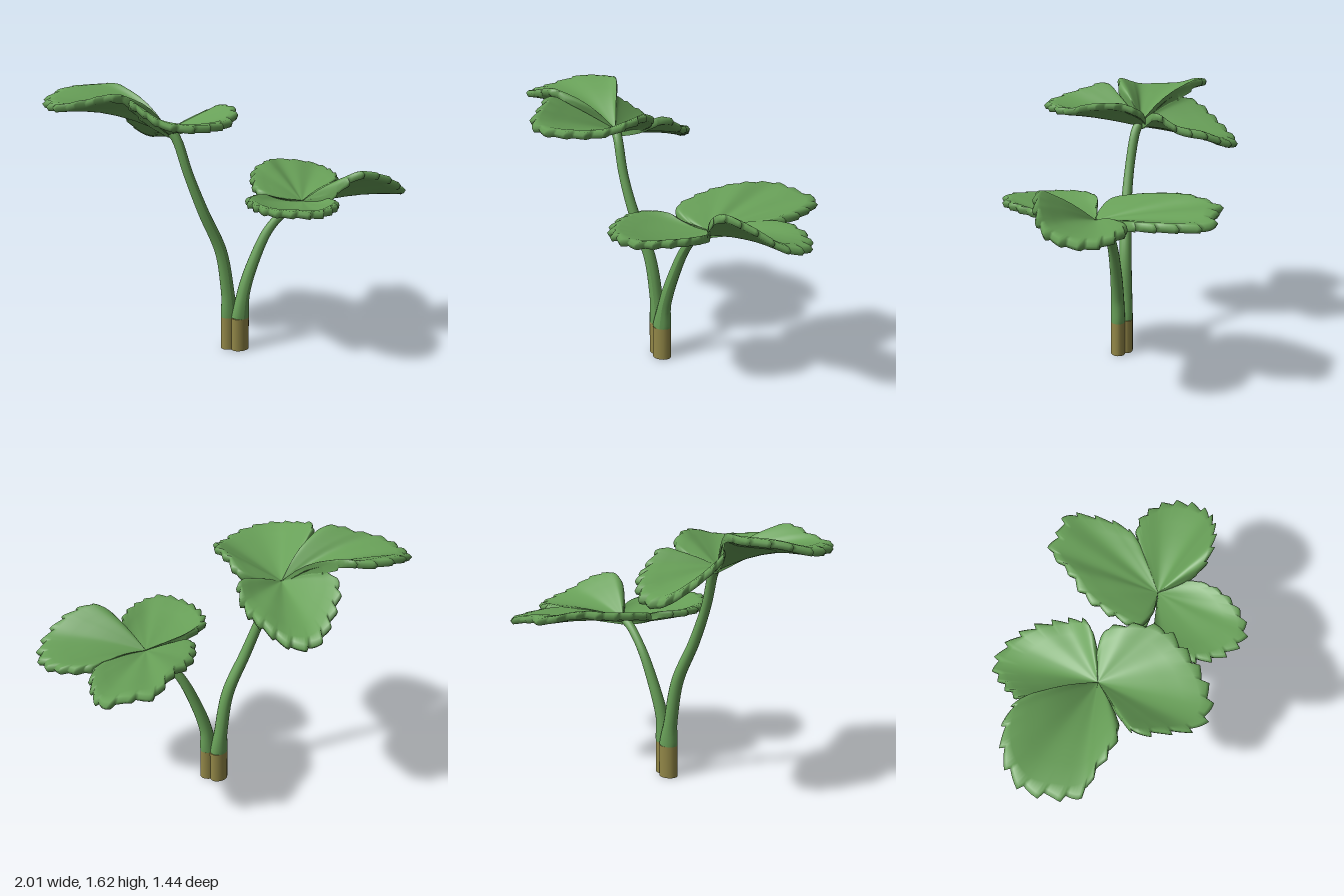
import * as THREE from 'three';

const leafGreen = new THREE.MeshStandardMaterial({ name: 'leafGreen', color: 0x68a058 });
const stalkBrown = new THREE.MeshStandardMaterial({ name: 'stalkBrown', color: 0x938848 });

// Leaf section from hub to rim and back underneath: [fraction of radius, height offset]
const SECTION = [
  [0, 0], [0.15, 0], [0.3, 0], [0.45, 0], [0.6, 0], [0.75, 0], [0.9, 0.004], [0.97, -0.004],
  [1, -0.024], [0.98, -0.046], [0.9, -0.042], [0.75, -0.036], [0.6, -0.032], [0.45, -0.03],
  [0.3, -0.028], [0.15, -0.028], [0, -0.028],
];

// Serrated leaflet: a closed shell fanned from the hub; rim runs anticlockwise from above.
// bulge lifts (or sinks) the blade between hub and rim.
function leaflet(name, hub, bulge, rim) {
  const steps = 114, teeth = 19;
  const h = new THREE.Vector3(...hub);
  const ctrl = [hub, ...rim, hub].map((p) => new THREE.Vector3(...p));
  const edge = new THREE.CatmullRomCurve3(ctrl, false, 'centripetal').getSpacedPoints(steps);
  const pos = [], index = [], n = SECTION.length;
  edge.forEach((p, i) => {
    const saw = ((i * teeth) / steps) % 1 - 0.45;
    const out = p.clone().sub(h);
    const len = out.length();
    const fade = THREE.MathUtils.smoothstep(len, 0.2, 0.4);
    const grow = len > 0 ? 1 + (saw * 0.042 * fade) / len : 1;
    const lift = bulge * THREE.MathUtils.smoothstep(len, 0, 0.4);
    SECTION.forEach(([t, dy]) => {
      const s = t > 0.95 ? t * grow : t;
      const y = h.y + out.y * t + dy + lift * Math.sin(Math.PI * t);
      pos.push(h.x + out.x * s, y, h.z + out.z * s);
    });
    if (i < steps) {
      for (let j = 0; j < n - 1; j++) {
        const a = i * n + j, b = a + n;
        index.push(a, a + 1, b, b, a + 1, b + 1);
      }
    }
  });
  const geo = new THREE.BufferGeometry();
  geo.setAttribute('position', new THREE.Float32BufferAttribute(pos, 3));
  geo.setIndex(index);
  geo.computeVertexNormals();
  const mesh = new THREE.Mesh(geo, leafGreen);
  mesh.name = name;
  return mesh;
}

// Tapering stem, oval at the bottom, with a brown foot
function stem(name, path, r0, r1) {
  const g = new THREE.Group();
  g.name = name;
  const [x, top, z] = path[0];
  const oval = 1.32, bottom = 0.008;
  const curve = new THREE.CatmullRomCurve3(path.map((p) => new THREE.Vector3(...p)));
  const segs = 36, sides = 14;
  const geo = new THREE.TubeGeometry(curve, segs, 1, sides);
  const pos = geo.attributes.position, v = new THREE.Vector3();
  for (let i = 0; i <= segs; i++) {
    const c = curve.getPointAt(i / segs);
    const r = THREE.MathUtils.lerp(r0, r1, Math.min(1, (i / segs) * 1.3));
    const wide = THREE.MathUtils.lerp(oval, 1, THREE.MathUtils.smoothstep(c.y, top, 0.38));
    for (let j = 0; j <= sides; j++) {
      const k = i * (sides + 1) + j;
      v.fromBufferAttribute(pos, k).sub(c).multiplyScalar(r);
      v.x *= wide;
      v.add(c);
      pos.setXYZ(k, v.x, v.y, v.z);
    }
  }
  geo.computeVertexNormals();
  const stalk = new THREE.Mesh(geo, leafGreen);
  stalk.name = 'stalk';
  const foot = new THREE.Mesh(new THREE.CylinderGeometry(r0, r0, top - bottom, sides), stalkBrown);
  foot.position.set(x, (top + bottom) / 2, z);
  foot.scale.x = oval;
  foot.name = 'stalkFoot';
  g.add(stalk, foot);
  return g;
}

export function createModel() {
  const model = new THREE.Group();
  model.name = 'seedling';

  // Tall sprig
  const tall = new THREE.Group();
  tall.name = 'tallSprig';
  const a = [-0.335, 1.385, -0.14];
  tall.add(
    stem('tallStem', [
      [0, 0.215, -0.008], [-0.016, 0.38, -0.008], [-0.06, 0.64, -0.012], [-0.17, 0.9, -0.03],
      [-0.25, 1.13, -0.06], [-0.3, 1.33, -0.1], [-0.32, 1.37, -0.12],
    ], 0.044, 0.029),
    leaflet('tallFrontLeaflet', a, 0.005, [
      [-0.55, 1.51, -0.03], [-0.67, 1.61, 0.06], [-0.66, 1.58, 0.2], [-0.62, 1.53, 0.37],
      [-0.52, 1.51, 0.44], [-0.36, 1.5, 0.42], [-0.2, 1.5, 0.33], [-0.08, 1.54, 0.2],
      [-0.06, 1.54, 0.02], [-0.07, 1.49, -0.1], [-0.2, 1.42, -0.15],
    ]),
    leaflet('tallSideLeaflet', a, 0.045, [
      [-0.42, 1.5, -0.33], [-0.5, 1.63, -0.52], [-0.6, 1.63, -0.59], [-0.8, 1.62, -0.59],
      [-0.94, 1.58, -0.5], [-0.98, 1.57, -0.35], [-0.98, 1.57, -0.22], [-0.85, 1.6, -0.13],
      [-0.72, 1.63, -0.04], [-0.6, 1.57, -0.03], [-0.48, 1.47, -0.08],
    ]),
    leaflet('tallBackLeaflet', a, 0.01, [
      [-0.18, 1.42, -0.14], [-0.02, 1.48, -0.2], [0.02, 1.4, -0.33], [0, 1.36, -0.5],
      [-0.08, 1.3, -0.65], [-0.2, 1.3, -0.71], [-0.35, 1.39, -0.64], [-0.47, 1.51, -0.51],
      [-0.46, 1.53, -0.42], [-0.42, 1.48, -0.3],
    ]),
  );

  // Short sprig
  const short = new THREE.Group();
  short.name = 'shortSprig';
  const b = [0.38, 0.945, 0.2];
  short.add(
    stem('shortStem', [
      [0.043, 0.215, 0.045], [0.065, 0.38, 0.05], [0.12, 0.56, 0.065], [0.21, 0.77, 0.1],
      [0.31, 0.9, 0.16], [0.36, 0.933, 0.19],
    ], 0.044, 0.027),
    leaflet('shortFrontLeaflet', b, -0.02, [
      [0.22, 0.98, 0.19], [0.1, 1.02, 0.17], [-0.03, 1.03, 0.24], [-0.08, 1.03, 0.4],
      [-0.06, 1.03, 0.55], [0.04, 1.04, 0.69], [0.14, 1.03, 0.71], [0.28, 1.03, 0.65],
      [0.39, 1.02, 0.54], [0.44, 1, 0.42], [0.43, 0.97, 0.3],
    ]),
    leaflet('shortSideLeaflet', b, 0.02, [
      [0.44, 1.01, 0.38], [0.5, 1.12, 0.48], [0.58, 1.17, 0.52], [0.75, 1.13, 0.54],
      [0.9, 1.04, 0.5], [0.98, 1, 0.38], [0.98, 0.99, 0.25], [0.88, 1.01, 0.11],
      [0.76, 1.01, 0.07], [0.6, 0.98, 0.12],
    ]),
    leaflet('shortBackLeaflet', b, 0.01, [
      [0.6, 0.98, 0.13], [0.76, 1.02, 0.04], [0.84, 1.03, -0.1], [0.87, 1.04, -0.35],
      [0.74, 1.07, -0.4], [0.62, 1.08, -0.45], [0.45, 1.1, -0.33], [0.3, 1.08, -0.23],
      [0.18, 1.05, -0.05], [0.14, 1.02, 0.08], [0.25, 0.97, 0.17],
    ]),
  );

  model.add(tall, short);
  return model;
}
